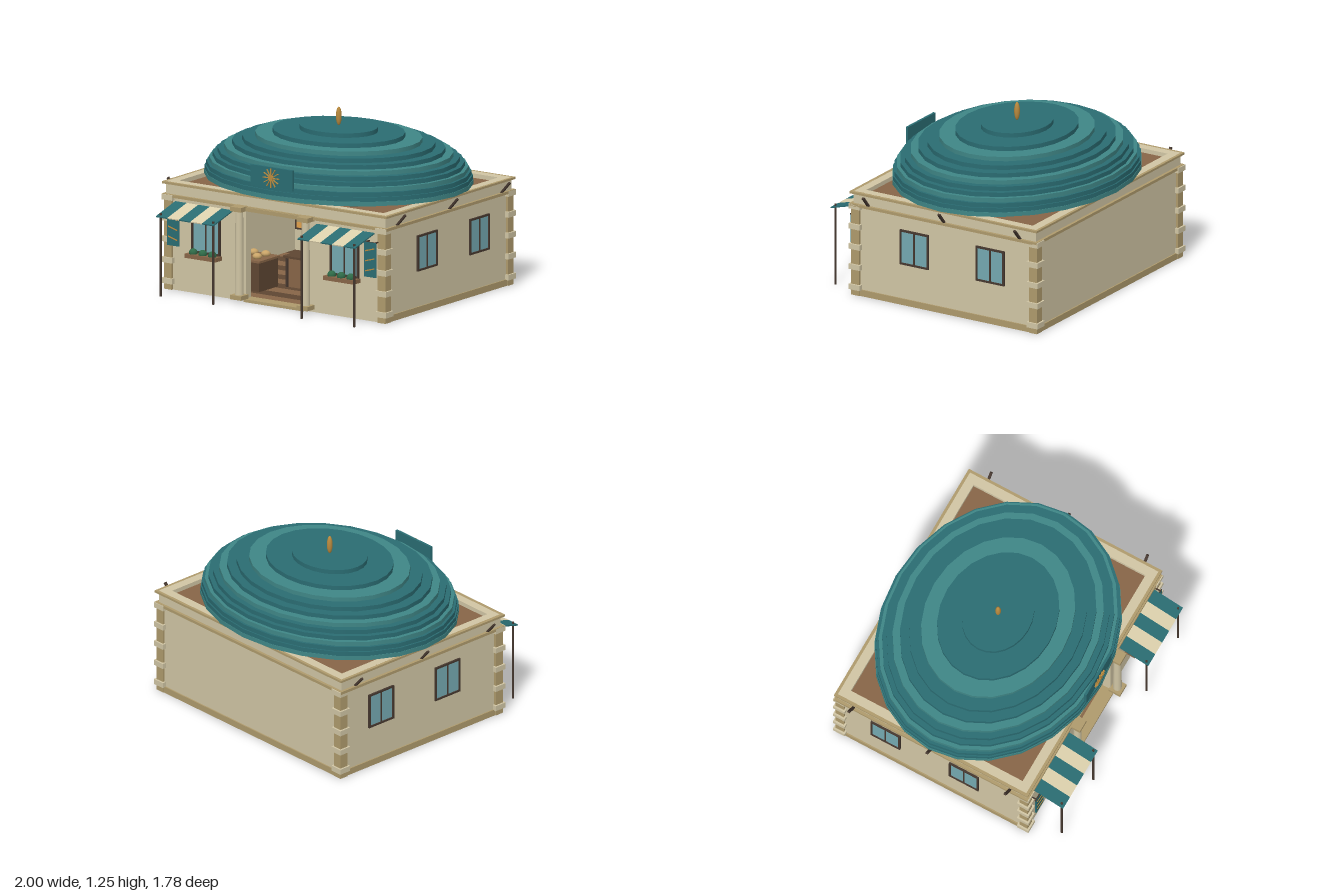
import * as THREE from 'three';

const mat = (color, side = THREE.FrontSide) => new THREE.MeshStandardMaterial({ color, side });
const M = {
  wall: mat(0xd0c5a4), trim: mat(0xae9a6c), teal: mat(0x2a6c72), lightTeal: mat(0x3f8686),
  wood: mat(0x876547), darkWood: mat(0x5f4632), iron: mat(0x46382f), glass: mat(0x74a8b0),
  gold: mat(0xb98a3e), leaf: mat(0x2f6b48), cream: mat(0xdcd0ac), lamp: mat(0xe2a04c), bread: mat(0xc9a468),
};
const ZC = -0.085; // centre of the building in z

function add(parent, name, geo, material, x = 0, y = 0, z = 0) {
  const m = new THREE.Mesh(geo, material);
  m.name = name;
  m.position.set(x, y, z);
  parent.add(m);
  return m;
}
// box given by its limits
function box(parent, name, material, x0, x1, y0, y1, z0, z1) {
  return add(parent, name, new THREE.BoxGeometry(x1 - x0, y1 - y0, z1 - z0), material,
    (x0 + x1) / 2, (y0 + y1) / 2, (z0 + z1) / 2);
}
function group(parent, name, x = 0, y = 0, z = 0) {
  const g = new THREE.Group();
  g.name = name;
  g.position.set(x, y, z);
  parent.add(g);
  return g;
}
// rectangular ring around the building, half sizes hx, hz, width w
function ring(parent, name, material, hx, hz, w, y0, y1) {
  const s = new THREE.Shape([[-hx, -hz], [hx, -hz], [hx, hz], [-hx, hz]].map(p => new THREE.Vector2(...p)));
  const ix = hx - w, iz = hz - w;
  s.holes.push(new THREE.Path([[-ix, -iz], [-ix, iz], [ix, iz], [ix, -iz]].map(p => new THREE.Vector2(...p))));
  const geo = new THREE.ExtrudeGeometry(s, { depth: y1 - y0, bevelEnabled: false }).rotateX(-Math.PI / 2);
  return add(parent, name, geo, material, 0, y0, ZC);
}
// framed two-pane window facing +z
function windowUnit(parent, w, h) {
  const g = group(parent, 'window');
  const f = 0.013;
  box(g, 'glass', M.glass, -w / 2 + f, w / 2 - f, -h / 2 + f, h / 2 - f, -0.004, 0.004);
  for (const s of [-1, 1]) {
    box(g, 'frameSide', M.iron, s * (w / 2 - f / 2) - f / 2, s * (w / 2 - f / 2) + f / 2, -h / 2, h / 2, -0.005, 0.012);
    box(g, 'frameRail', M.iron, -w / 2, w / 2, s * (h / 2 - f / 2) - f / 2, s * (h / 2 - f / 2) + f / 2, -0.005, 0.012);
  }
  box(g, 'mullion', M.iron, -0.005, 0.005, -h / 2, h / 2, -0.005, 0.01);
  return g;
}

function buildShell(root) {
  const g = group(root, 'building');
  box(g, 'foundation', M.wall, -0.91, 0.91, 0, 0.012, -0.82, 0.65);
  box(g, 'backWall', M.wall, -0.91, 0.91, 0.012, 0.66, -0.82, -0.76);
  for (const s of [-1, 1]) {
    box(g, 'sideWall', M.wall, s * 0.88 - 0.03, s * 0.88 + 0.03, 0.012, 0.66, -0.76, 0.59);
    box(g, 'frontWall', M.wall, s * 0.58 - 0.33, s * 0.58 + 0.33, 0.012, 0.66, 0.59, 0.65);
    box(g, 'sidePlinth', M.trim, s * 0.91 - 0.01, s * 0.91 + 0.01, 0, 0.045, -0.82, 0.65);
  }
  box(g, 'lintel', M.wall, -0.25, 0.25, 0.63, 0.66, 0.59, 0.65);
  box(g, 'backPlinth', M.trim, -0.91, 0.91, 0, 0.045, -0.83, -0.81);
  // roof edge
  ring(g, 'cornice', M.trim, 0.94, 0.755, 0.08, 0.645, 0.665);
  ring(g, 'parapet', M.wall, 0.92, 0.735, 0.065, 0.66, 0.75);
  ring(g, 'parapetCap', M.trim, 0.94, 0.755, 0.025, 0.735, 0.75);
  box(g, 'flatRoof', M.wood, -0.86, 0.86, 0.66, 0.72, -0.76, 0.585);
  // corner posts with alternating blocks
  for (const sx of [-1, 1]) for (const sz of [-1, 1]) {
    const c = group(g, 'cornerPost', sx * 0.895, 0, ZC + sz * 0.717);
    box(c, 'post', M.trim, -0.032, 0.032, 0, 0.65, -0.032, 0.032);
    for (let i = 0; i < 5; i++) {
      const y = 0.06 + i * 0.146;
      box(c, 'quoin', M.wall, -0.045, 0.045, y - 0.019, y + 0.019, -0.045, 0.045);
    }
  }
  // side windows and slanted roof struts
  for (const s of [-1, 1]) {
    for (const z of [0.162, -0.45]) {
      const w = windowUnit(g, 0.23, 0.25);
      w.position.set(s * 0.912, 0.418, z);
      w.rotation.y = s * Math.PI / 2;
    }
    for (const z of [0.525, ZC, -0.695]) {
      const b = add(g, 'roofStrut', new THREE.BoxGeometry(0.014, 0.125, 0.018), M.iron, s * 0.953, 0.695, z);
      b.rotation.z = -s * 0.72;
    }
  }
}

function buildDome(root) {
  const g = group(root, 'dome', 0, 0, ZC);
  const h = 0.37 / 12;
  add(g, 'drum', new THREE.CylinderGeometry(1, 1, 0.045, 24), M.teal, 0, 0.737, 0).scale.set(0.8, 1, 0.66);
  for (let i = 0; i < 12; i++) {
    const r = Math.sqrt(1 - (i / 11.5) ** 2);
    const tier = add(g, 'domeTier', new THREE.CylinderGeometry(1, 1, h, 24),
      i % 3 === 0 ? M.lightTeal : M.teal, 0, 0.755 + (i + 0.5) * h, 0);
    tier.scale.set(0.97 * r, 1, 0.802 * r);
  }
  add(g, 'finial', new THREE.SphereGeometry(0.02, 12, 10), M.gold, 0, 1.19, 0).scale.y = 3.25;
}

function buildSign(root) {
  const g = group(root, 'signBoard', 0, 0.903, 0.692);
  box(g, 'board', M.teal, -0.175, 0.175, -0.073, 0.073, -0.009, 0.009);
  add(g, 'sunDisc', new THREE.CylinderGeometry(0.02, 0.02, 0.012, 16).rotateX(Math.PI / 2), M.gold, 0, 0, 0.018);
  for (let i = 0; i < 12; i++) {
    const a = i * Math.PI / 6;
    const ray = add(g, 'sunRay', new THREE.BoxGeometry(0.006, 0.05, 0.008), M.gold,
      Math.sin(a) * 0.043, Math.cos(a) * 0.043, 0.016);
    ray.rotation.z = -a;
  }
}

function buildEntrance(root) {
  const g = group(root, 'entrance');
  for (const s of [-1, 1]) {
    const c = group(g, 'column', s * 0.278, 0, 0.69);
    add(c, 'shaft', new THREE.CylinderGeometry(0.027, 0.03, 0.6, 12), M.wall, 0, 0.34, 0);
    box(c, 'base', M.trim, -0.046, 0.046, 0.02, 0.05, -0.045, 0.045);
    box(c, 'capital', M.trim, -0.046, 0.046, 0.635, 0.667, -0.045, 0.045);
  }
  box(g, 'doorBeam', M.trim, -0.25, 0.25, 0.635, 0.662, 0.645, 0.68);
  box(g, 'threshold', M.trim, -0.25, 0.25, 0, 0.02, 0.585, 0.68);
}

function buildInterior(root) {
  const g = group(root, 'interior');
  for (let i = 0; i < 12; i++) {
    const z = -0.76 + i * 0.1125;
    box(g, 'floorBoard', i % 2 ? M.wood : M.darkWood, -0.85, 0.85, 0.01, 0.018, z, z + 0.1125);
  }
  // counter with framed panels
  box(g, 'counter', M.wood, -0.25, 0.25, 0.018, 0.22, 0.04, 0.19);
  box(g, 'counterTop', M.darkWood, -0.26, 0.26, 0.22, 0.235, 0.03, 0.205);
  for (const x of [-0.235, 0, 0.235]) box(g, 'counterPost', M.iron, x - 0.009, x + 0.009, 0.018, 0.22, 0.18, 0.198);
  // side tables with loaves
  for (const s of [-1, 1]) {
    const t = group(g, 'sideTable', s * 0.4, 0, 0.33);
    box(t, 'tableBody', M.darkWood, -0.11, 0.11, 0.018, 0.22, -0.11, 0.11);
    box(t, 'tableTop', M.wood, -0.12, 0.12, 0.22, 0.235, -0.12, 0.12);
    for (const x of [-0.05, 0.05]) for (const z of [-0.05, 0.05])
      add(t, 'loaf', new THREE.SphereGeometry(0.033, 10, 8), M.bread, x, 0.25, z).scale.y = 0.7;
  }
  // hanging lantern
  const l = group(g, 'lantern', 0, 0.53, 0.35);
  box(l, 'lampGlass', M.lamp, -0.026, 0.026, -0.037, 0.037, -0.026, 0.026);
  for (const y of [-0.041, 0.041]) box(l, 'lampPlate', M.iron, -0.033, 0.033, y - 0.005, y + 0.005, -0.033, 0.033);
  for (const x of [-1, 1]) for (const z of [-1, 1])
    add(l, 'lampBar', new THREE.BoxGeometry(0.007, 0.08, 0.007), M.iron, x * 0.028, 0, z * 0.028);
  add(l, 'lampRod', new THREE.CylinderGeometry(0.003, 0.003, 0.09, 6), M.iron, 0, 0.088, 0);
}

// window bay with awning, flower box and banner, on side s
function buildBay(root, s) {
  const g = group(root, s > 0 ? 'leftBay' : 'rightBay', s * 0.58, 0, 0.65);
  windowUnit(g, 0.24, 0.245).position.set(0, 0.408, 0.003);
  box(g, 'flowerBox', M.wood, -0.13, 0.13, 0.257, 0.285, 0, 0.08);
  for (const x of [-0.08, 0, 0.08]) add(g, 'plant', new THREE.SphereGeometry(0.03, 10, 8), M.leaf, x, 0.293, 0.045);
  // striped awning on two posts
  const a = group(g, 'awning', s * 0.013, 0.588, 0.125);
  a.rotation.x = 0.27;
  for (let i = 0; i < 5; i++) {
    const x = -0.2412 + i * 0.0965;
    box(a, 'awningStripe', i % 2 ? M.cream : M.teal, x, x + 0.0965, -0.004, 0.004, -0.118, 0.118);
  }
  for (const x of [-0.22, 0.22])
    add(g, 'awningPost', new THREE.CylinderGeometry(0.008, 0.008, 0.58, 8), M.iron, s * 0.01 + x, 0.29, 0.215);
  // banner beside the window
  const b = group(g, 'banner', s * 0.245, 0.442, 0.048);
  box(b, 'cloth', M.teal, -0.05, 0.05, -0.122, 0.122, -0.005, 0.005);
  for (const y of [-0.07, 0, 0.07])
    add(b, 'bannerStripe', new THREE.BoxGeometry(0.08, 0.008, 0.006), M.gold, 0, y, 0.006).rotation.z = s * 0.28;
  add(b, 'bannerRod', new THREE.CylinderGeometry(0.005, 0.005, 0.11, 8).rotateZ(Math.PI / 2), M.iron, 0, 0.12, 0);
  for (const x of [-0.04, 0.04]) box(b, 'bannerBracket', M.iron, x - 0.004, x + 0.004, 0.116, 0.124, -0.05, 0);
}

export function createModel() {
  const root = new THREE.Group();
  root.name = 'domedShop';
  buildShell(root);
  buildDome(root);
  buildSign(root);
  buildEntrance(root);
  buildInterior(root);
  for (const s of [-1, 1]) buildBay(root, s);
  return root;
}
